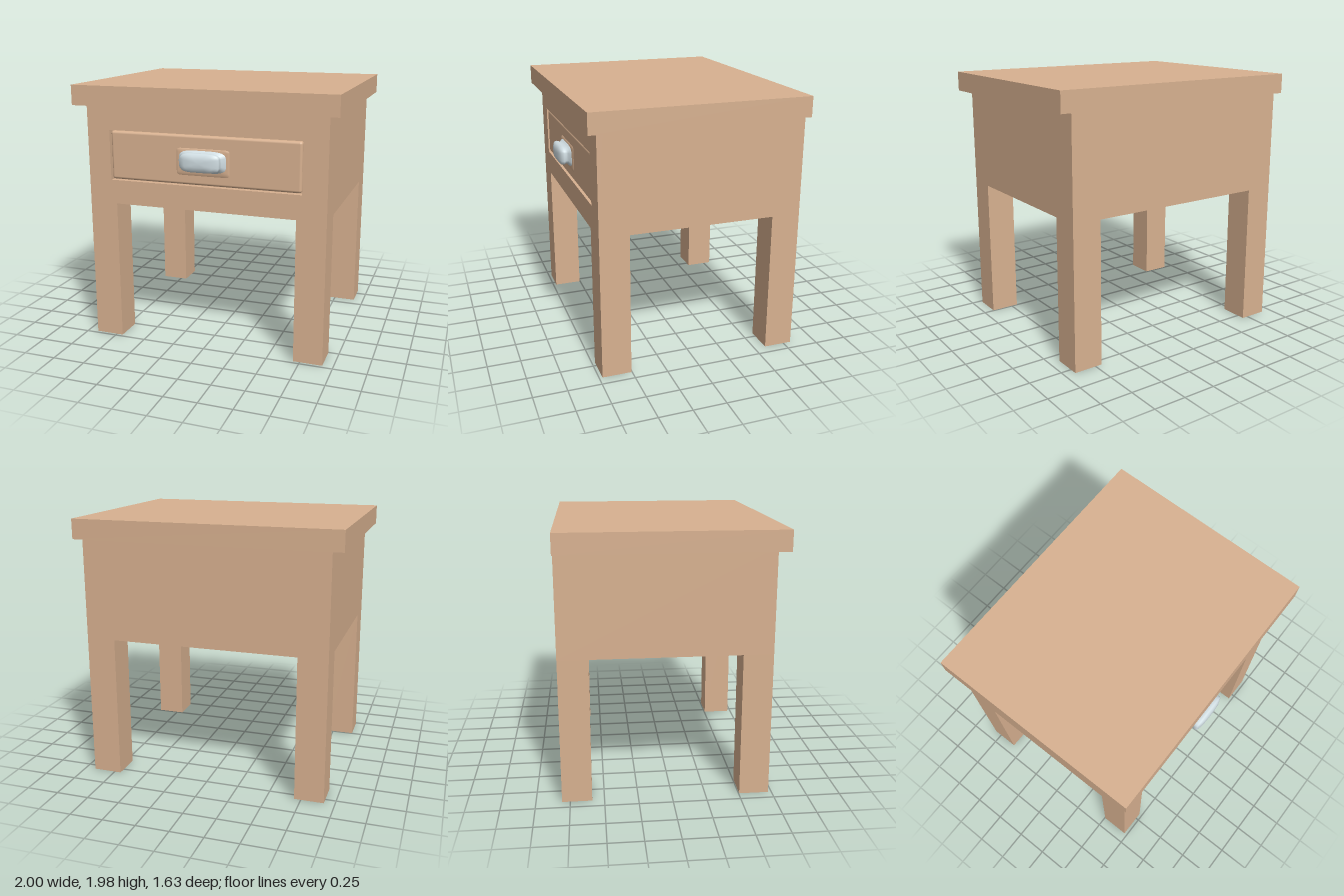
import * as THREE from 'three';
import { RoundedBoxGeometry } from 'three/addons/geometries/RoundedBoxGeometry.js';

export function createModel() {
  const model = new THREE.Group();
  model.name = 'nightstand';
  const wood = new THREE.MeshStandardMaterial({ color: 0xd8b190 });
  wood.name = 'light wood';
  const metal = new THREE.MeshStandardMaterial({ color: 0xd0dde2 });
  metal.name = 'pale metal';

  const add = (name, geometry, material) => {
    const mesh = new THREE.Mesh(geometry, material);
    mesh.name = name;
    model.add(mesh);
    return mesh;
  };
  // Box given by its lower and upper limits on each axis
  const box = (name, [x0, x1], [y0, y1], [z0, z1]) =>
    add(name, new THREE.BoxGeometry(x1 - x0, y1 - y0, z1 - z0), wood)
      .position.set((x0 + x1) / 2, (y0 + y1) / 2, (z0 + z1) / 2);

  // Table top, flush with the body at the back
  box('tableTop', [-1, 1], [1.83, 1.98], [-0.813, 0.8]);

  // Body behind the front frame
  box('body', [-0.92, 0.92], [1.085, 1.83], [-0.81, 0.68]);

  // Front frame with the drawer opening
  const rect = (path, x, y0, y1) =>
    path.moveTo(-x, y0).lineTo(x, y0).lineTo(x, y1).lineTo(-x, y1).closePath();
  const frame = new THREE.Shape();
  rect(frame, 0.92, 1.085, 1.83);
  const opening = new THREE.Path();
  rect(opening, 0.74, 1.268, 1.648);
  frame.holes.push(opening);
  add('frontFrame', new THREE.ExtrudeGeometry(frame, { depth: 0.045, bevelEnabled: false }), wood)
    .position.z = 0.68;

  // Legs at the four corners
  for (const side of [-1, 1]) {
    const x = side < 0 ? [-0.92, -0.7] : [0.7, 0.92];
    box('frontLeg', x, [0, 1.085], [0.505, 0.725]);
    box('backLeg', x, [0, 1.085], [-0.81, -0.59]);
  }

  // Drawer front, softly rounded and set in the opening
  add('drawerFront', new RoundedBoxGeometry(1.466, 0.366, 0.09, 3, 0.02), wood)
    .position.set(0, 1.458, 0.672);

  // Handle parts: smooth lofts through rounded rectangles [z, half width, half height, centre y]
  const loft = (sections, power) => {
    const n = 32, pos = [], index = [];
    for (const [z, w, h, y] of sections) {
      for (let i = 0; i < n; i++) {
        const a = (i / n) * Math.PI * 2, c = Math.cos(a), s = Math.sin(a);
        pos.push(w * Math.sign(c) * Math.abs(c) ** power, y + h * Math.sign(s) * Math.abs(s) ** power, z);
      }
    }
    for (let r = 0; r < sections.length - 1; r++) {
      for (let i = 0; i < n; i++) {
        const a = r * n + i, b = r * n + (i + 1) % n;
        index.push(a, b, b + n, a, b + n, a + n);
      }
    }
    const last = sections.length - 1;
    const [z, , , y] = sections[last];
    pos.push(0, y, z + 0.002);
    for (let i = 0; i < n; i++) index.push(last * n + i, last * n + (i + 1) % n, sections.length * n);
    const g = new THREE.BufferGeometry();
    g.setAttribute('position', new THREE.Float32BufferAttribute(pos, 3));
    g.setIndex(index);
    g.computeVertexNormals();
    return g;
  };
  // Wooden flare around the handle
  add('handleSurround', loft([
    [0.714, 0.21, 0.105, 1.445],
    [0.727, 0.188, 0.085, 1.452],
  ], 0.15), wood);
  // Handle with a flared foot, narrow neck and rounded grip
  add('handle', loft([
    [0.724, 0.186, 0.083, 1.453],
    [0.735, 0.175, 0.076, 1.455],
    [0.745, 0.15, 0.064, 1.457],
    [0.76, 0.145, 0.066, 1.457],
    [0.775, 0.155, 0.072, 1.456],
    [0.795, 0.148, 0.068, 1.456],
    [0.808, 0.11, 0.05, 1.456],
    [0.813, 0.06, 0.028, 1.456],
  ], 0.5), metal);

  return model;
}
